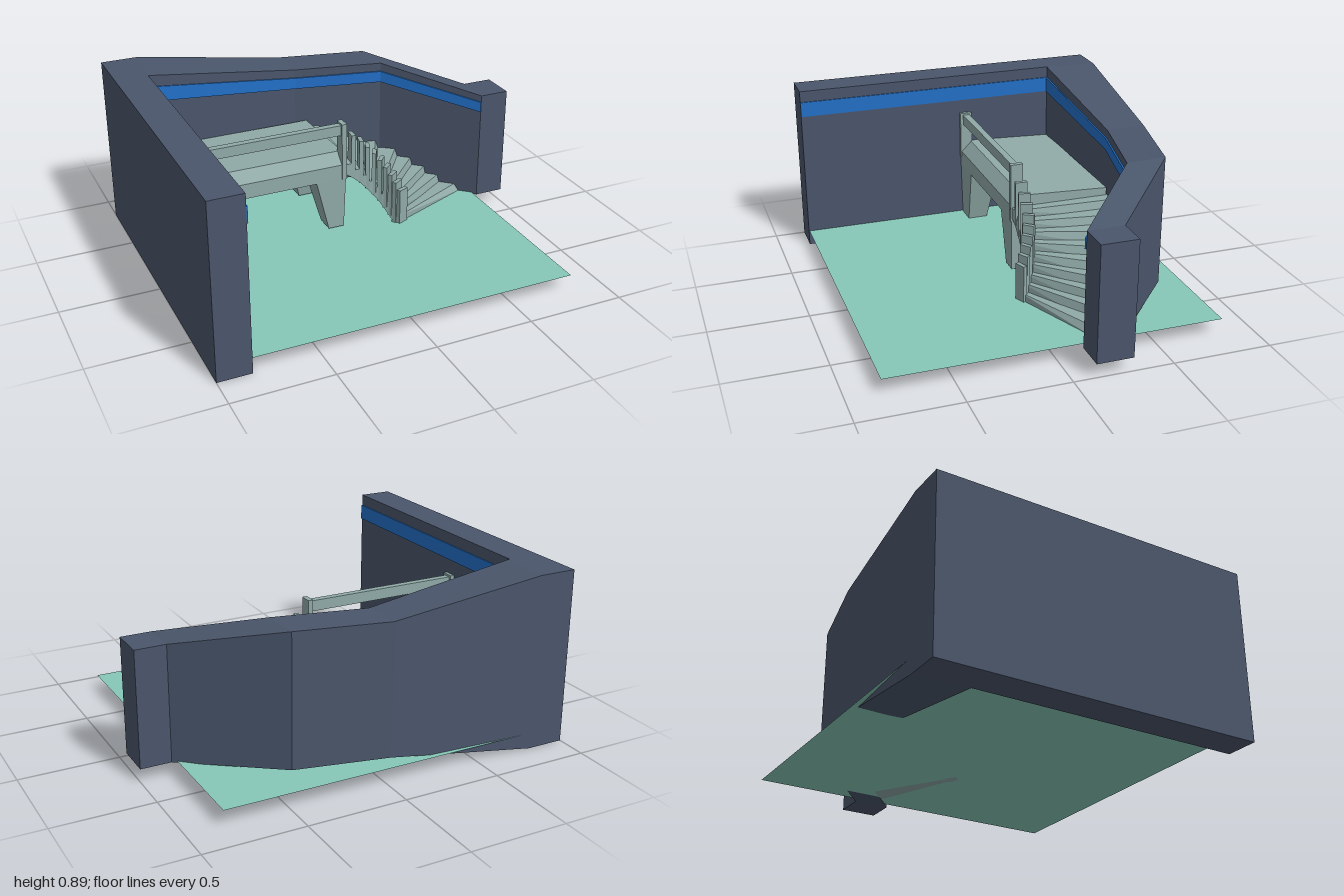
import * as THREE from 'three';
import { ConvexGeometry } from 'three/addons/geometries/ConvexGeometry.js';

const V = (x, y, z) => new THREE.Vector3(x, y, z);
const paint = (color, extra = {}) => new THREE.MeshStandardMaterial({ color, flatShading: true, ...extra });

// Joins four-cornered cross-sections into a closed strip with end caps.
function loft(sections) {
  const pos = [];
  const tri = (...pts) => pts.forEach(p => pos.push(p.x, p.y, p.z));
  for (let s = 0; s < sections.length - 1; s++) {
    const A = sections[s], B = sections[s + 1];
    for (let k = 0; k < 4; k++) {
      const n = (k + 1) % 4;
      tri(A[k], A[n], B[k]);
      tri(A[n], B[n], B[k]);
    }
  }
  const a = sections[0], b = sections[sections.length - 1];
  tri(a[0], a[2], a[1]); tri(a[0], a[3], a[2]);
  tri(b[0], b[1], b[2]); tri(b[0], b[2], b[3]);
  const g = new THREE.BufferGeometry();
  g.setAttribute('position', new THREE.Float32BufferAttribute(pos, 3));
  g.computeVertexNormals();
  return g;
}

// Upright section from outer and inner plan points and a height range.
const section = ([ox, oz], [ix, iz], y0, y1) =>
  [V(ox, y0, oz), V(ox, y1, oz), V(ix, y1, iz), V(ix, y0, iz)];

export function createModel() {
  const group = new THREE.Group();
  const wallMat = paint(0x4a566b), stripeMat = paint(0x2270c8), stoneMat = paint(0x90aaa8);
  const floorMat = paint(0x86c8b8, { side: THREE.DoubleSide });
  const add = (name, geometry, material, parent = group) => {
    const m = new THREE.Mesh(geometry, material);
    m.name = name;
    parent.add(m);
    return m;
  };
  const box = (name, x0, x1, y0, y1, z0, z1, parent) =>
    add(name, new THREE.BoxGeometry(x1 - x0, y1 - y0, z1 - z0), stoneMat, parent)
      .position.set((x0 + x1) / 2, (y0 + y1) / 2, (z0 + z1) / 2);

  // Floor sheet
  const floor = add('floor', new THREE.PlaneGeometry(1.655, 1.675).rotateX(-Math.PI / 2), floorMat);
  floor.position.set(-0.003, 0.08, 0);

  // Bent boundary wall with stepped-down heights
  add('wall', loft([
    section([-1, 0.84], [-0.83, 0.84], 0, 0.89),
    section([-1, -0.84], [-0.83, -0.565], 0, 0.89),
    section([-0.81, -0.84], [-0.83, -0.565], 0, 0.89),
    section([-0.04, -0.795], [-0.03, -0.587], 0.11, 0.78),
    section([0.42, -0.695], [0.43, -0.487], 0.11, 0.78),
    section([0.845, -0.295], [0.845, -0.11], 0.07, 0.66),
    section([1, -0.295], [1, -0.11], 0.07, 0.66),
  ]), wallMat);

  // Stripe along the inner wall faces
  add('wallStripe', loft([
    section([-0.83, 0.84], [-0.824, 0.84], 0.75, 0.83),
    section([-0.83, -0.565], [-0.824, -0.558], 0.75, 0.83),
    section([-0.03, -0.587], [-0.03, -0.579], 0.675, 0.735),
    section([0.43, -0.487], [0.426, -0.479], 0.675, 0.735),
    section([0.845, -0.11], [0.839, -0.104], 0.57, 0.625),
  ]), stripeMat);

  // Raised platform with a chamfered front edge
  const platform = new THREE.Group();
  platform.name = 'platform';
  group.add(platform);
  const deckProfile = [[-0.57, 0.485], [-0.105, 0.505], [-0.05, 0.45], [-0.05, 0.37], [-0.57, 0.37]];
  add('deck', new ConvexGeometry(deckProfile.flatMap(([z, y]) =>
    [V(-0.83, y, z), V(0.025, y, z)])), stoneMat, platform);

  // Tapered legs: x range at the top, x range at the foot, foot height
  const legs = [[-0.83, -0.64, -0.82, -0.71, 0.07], [-0.14, 0.025, -0.07, 0.015, 0.095]];
  for (const [t0, t1, b0, b1, y] of legs) {
    for (const side of [1, -1]) {
      const z = d => -0.31 + side * (0.26 - d);
      add(side > 0 ? 'frontLeg' : 'backLeg', new ConvexGeometry([
        V(t0, 0.38, z(0)), V(t1, 0.38, z(0)), V(t0, 0.38, z(0.16)), V(t1, 0.38, z(0.16)),
        V(b0, y, z(0.005)), V(b1, y, z(0.005)), V(b0, y, z(0.11)), V(b1, y, z(0.11)),
      ]), stoneMat, platform);
    }
  }

  // Platform railing
  box('railPost', -0.83, -0.81, 0.42, 0.675, -0.11, -0.045, platform);
  box('railPost', 0.002, 0.028, 0.37, 0.675, -0.11, -0.045, platform);
  box('handrail', -0.815, 0.01, 0.61, 0.665, -0.095, -0.06, platform);

  // Winding stair: plan ends of each step line on the inner and outer side
  const stairs = new THREE.Group();
  stairs.name = 'stairs';
  group.add(stairs);
  const inner = [[0.01, -0.05], [0.07, -0.055], [0.115, -0.055], [0.15, -0.055], [0.185, -0.053],
    [0.215, -0.045], [0.24, -0.032], [0.262, -0.018], [0.28, -0.002], [0.298, 0.015]];
  const outer = [[0.02, -0.583], [0.115, -0.563], [0.215, -0.54], [0.325, -0.515], [0.435, -0.487],
    [0.52, -0.412], [0.58, -0.356], [0.637, -0.304], [0.695, -0.25], [0.77, -0.18]];
  const mix = (a, b, t) => [a[0] + (b[0] - a[0]) * t, a[1] + (b[1] - a[1]) * t];

  for (let i = 0; i < 9; i++) {
    const top = 0.445 - i * 0.041;
    const low = Math.max(0.08, top - 0.085), high = Math.max(0.08, top - 0.045);
    // Back of the step tucks under the one above; its riser leans back at the outer end
    const back = i ? mix(outer[i], outer[i - 1], 0.25) : outer[0];
    const nose = mix(outer[i + 1], outer[i], 0.25);
    const a = inner[i], b = inner[i + 1], o = outer[i + 1];
    add('step', new ConvexGeometry([
      V(a[0], top, a[1]), V(b[0], top, b[1]), V(back[0], top, back[1]), V(nose[0], top, nose[1]),
      V(a[0], high, a[1]), V(b[0], low, b[1]), V(back[0], high, back[1]), V(o[0], low, o[1]),
    ]), stoneMat, stairs);

    // Flat post at the inner end, aligned with the step line
    const dx = o[0] - b[0], dz = o[1] - b[1], len = Math.hypot(dx, dz);
    const bottom = Math.max(0.08, top - 0.08), height = top + 0.155 - bottom;
    const post = add('stairPost', new THREE.BoxGeometry(0.06, height, 0.022), stoneMat, stairs);
    post.position.set(b[0] + dx / len * 0.028, bottom + height / 2, b[1] + dz / len * 0.028);
    post.rotation.y = Math.atan2(-dz, dx);
  }
  return group;
}
